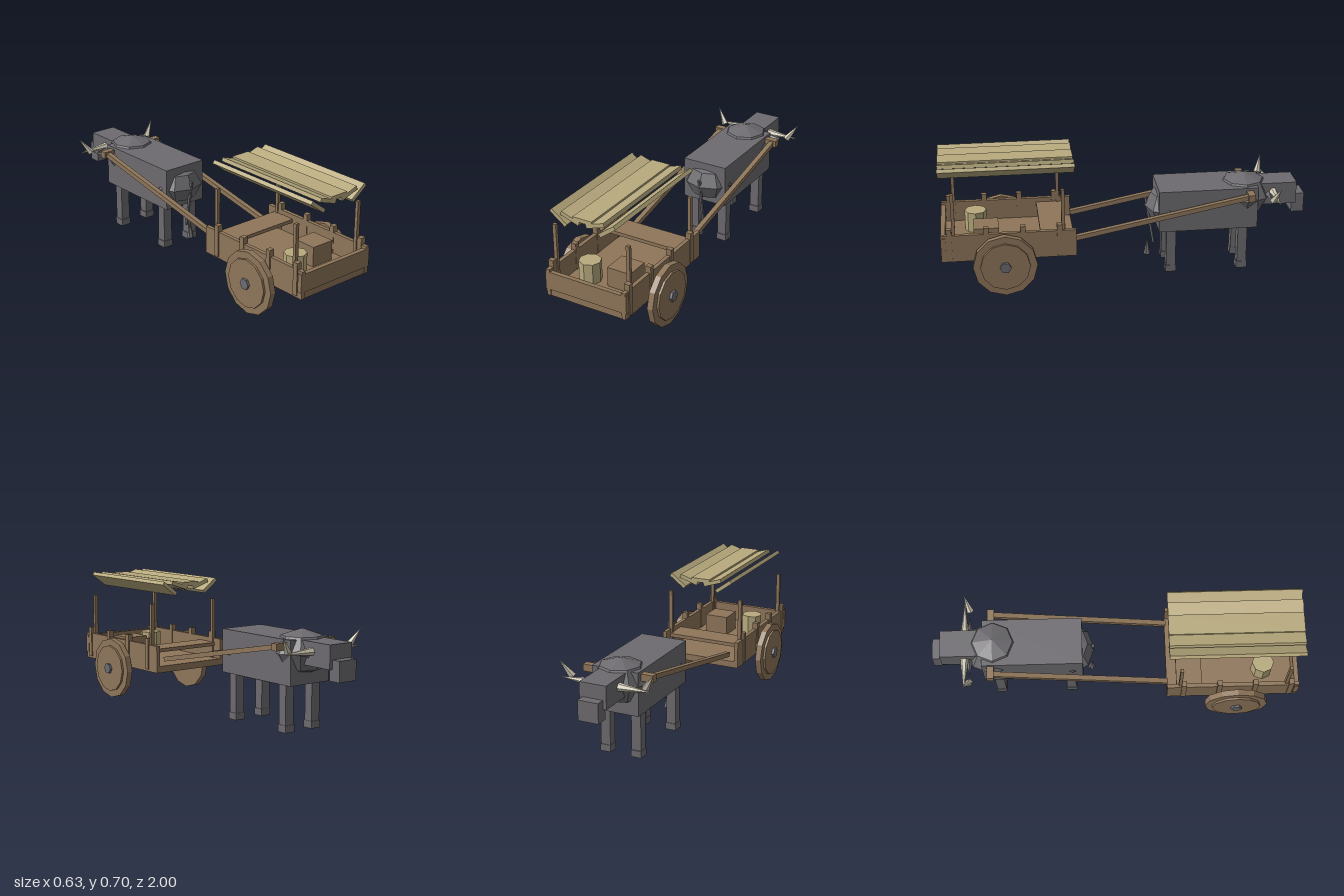
import * as THREE from 'three';

const material = (name, color) => {
  const m = new THREE.MeshStandardMaterial({ color, flatShading: true });
  m.name = name;
  return m;
};

export function createModel() {
  const wood = material('wood', 0x8f765a);
  const hide = material('greyHide', 0x6d6b6f);
  const straw = material('straw', 0xb8aa7e);
  const horn = material('horn', 0xcfc8b4);
  const iron = material('iron', 0x6b6c72);

  const model = new THREE.Group();
  model.name = 'oxCart';
  const cart = new THREE.Group();
  cart.name = 'cart';
  const ox = new THREE.Group();
  ox.name = 'ox';
  model.add(cart, ox);

  const add = (parent, name, geometry, mat) => {
    const mesh = new THREE.Mesh(geometry, mat);
    mesh.name = name;
    parent.add(mesh);
    return mesh;
  };
  // Box given by its extents on each axis
  const box = (parent, name, mat, [x0, x1], [y0, y1], [z0, z1]) => {
    const mesh = add(parent, name, new THREE.BoxGeometry(x1 - x0, y1 - y0, z1 - z0), mat);
    mesh.position.set((x0 + x1) / 2, (y0 + y1) / 2, (z0 + z1) / 2);
    return mesh;
  };
  // Mirrored box: extents are given for the +x side
  const sideBox = (parent, name, mat, s, [x0, x1], y, z) =>
    box(parent, name, mat, s > 0 ? [x0, x1] : [-x1, -x0], y, z);
  // Round or tapered bar between two points
  const bar = (parent, name, mat, a, b, ra, rb, sides) => {
    const p = new THREE.Vector3(...a), q = new THREE.Vector3(...b);
    const dir = q.clone().sub(p);
    const mesh = add(parent, name, new THREE.CylinderGeometry(rb, ra, dir.length(), sides), mat);
    mesh.position.copy(p).add(q).multiplyScalar(0.5);
    mesh.quaternion.setFromUnitVectors(new THREE.Vector3(0, 1, 0), dir.normalize());
    return mesh;
  };
  // Disc turned to lie across the x axis
  const disc = (parent, name, mat, x0, x1, r, sides) => {
    const g = new THREE.CylinderGeometry(r, r, x1 - x0, sides).rotateZ(Math.PI / 2);
    add(parent, name, g, mat).position.set((x0 + x1) / 2, 0.172, 0.665);
  };
  const blob = (name, r, pos) => {
    const mesh = add(ox, name, new THREE.SphereGeometry(1, 8, 4), hide);
    mesh.scale.set(...r);
    mesh.position.set(...pos);
  };

  // Cart bed
  box(cart, 'floor', wood, [-0.234, 0.234], [0.188, 0.225], [0.28, 0.995]);
  box(cart, 'tailboard', wood, [-0.24, 0.24], [0.225, 0.325], [0.975, 1]);
  box(cart, 'bench', wood, [-0.213, 0.213], [0.295, 0.315], [0.33, 0.47]);
  disc(cart, 'axle', iron, -0.26, 0.26, 0.0155, 6);

  for (const s of [-1, 1]) {
    // Sides, stakes and roof poles
    sideBox(cart, 'sideBoard', wood, s, [0.213, 0.235], [0.19, 0.34], [0.28, 1]);
    for (const z of [0.37, 0.565, 0.76, 0.955])
      sideBox(cart, 'stake', wood, s, [0.211, 0.241], [0.2, 0.376], [z - 0.014, z + 0.014]);
    for (const z of [0.35, 0.93])
      sideBox(cart, 'roofPole', wood, s, [0.206, 0.226], [0.225, 0.57], [z - 0.009, z + 0.009]);

    // Solid wheels
    const span = (a, b) => (s > 0 ? [a, b] : [-b, -a]);
    disc(cart, 'wheel', wood, ...span(0.255, 0.288), 0.172, 12);
    disc(cart, 'wheelPlate', wood, ...span(0.287, 0.3), 0.133, 12);
    disc(cart, 'hub', iron, ...span(0.248, 0.313), 0.031, 6);

    // Shaft rising to the yoke
    const shaft = add(cart, 'shaft', new THREE.BoxGeometry(0.028, 0.026, 0.985), wood);
    shaft.position.set(s * 0.171, 0.358, -0.2);
    shaft.rotation.x = Math.atan2(0.19, 0.965);

    // Tilted roof planks
    for (const [x, y, tilt] of [[0.073, 0.671, 0.32], [0.141, 0.657, 0.64]]) {
      const plank = add(cart, 'roofPlank', new THREE.BoxGeometry(0.11, 0.021, 0.72), straw);
      plank.position.set(s * x, y, 0.64);
      plank.rotation.z = s * tilt;
    }
  }
  box(cart, 'roofRidgePlank', straw, [-0.055, 0.055], [0.665, 0.687], [0.28, 1]);
  box(cart, 'yoke', wood, [-0.2, 0.2], [0.432, 0.47], [-0.696, -0.658]);

  // Cargo
  box(cart, 'crate', wood, [0.015, 0.151], [0.225, 0.334], [0.69, 0.825]);
  add(cart, 'basket', new THREE.CylinderGeometry(0.06, 0.06, 0.113, 8), straw)
    .position.set(-0.098, 0.2815, 0.81);

  // Ox body
  box(ox, 'body', hide, [-0.131, 0.131], [0.25, 0.484], [-0.725, -0.18]);
  box(ox, 'belly', hide, [-0.105, 0.105], [0.241, 0.25], [-0.685, -0.215]);
  blob('shoulderHump', [0.155, 0.12, 0.155], [0, 0.41, -0.665]);
  blob('rump', [0.14, 0.105, 0.12], [0, 0.36, -0.235]);
  box(ox, 'head', hide, [-0.075, 0.075], [0.36, 0.484], [-0.95, -0.72]);
  box(ox, 'muzzle', hide, [-0.057, 0.057], [0.3, 0.408], [-1, -0.93]);

  // Tail and tuft
  bar(ox, 'tail', hide, [0, 0.4, -0.122], [0, 0.13, -0.168], 0.01, 0.009, 5);
  bar(ox, 'tailTuft', hide, [0, 0.063, -0.133], [0, 0.158, -0.133], 0.021, 0, 6);

  for (const s of [-1, 1]) {
    // Legs and hooves
    for (const z of [-0.25, -0.648]) {
      sideBox(ox, 'leg', hide, s, [0.062, 0.116], [0.03, 0.255], [z - 0.026, z + 0.026]);
      sideBox(ox, 'hoof', hide, s, [0.059, 0.119], [0, 0.038], [z - 0.03, z + 0.03]);
    }
    // Horns: outward base, then upturned tip
    bar(ox, 'hornBase', horn, [s * 0.07, 0.435, -0.82], [s * 0.25, 0.435, -0.82], 0.023, 0.002, 6);
    bar(ox, 'hornTip', horn, [s * 0.205, 0.437, -0.79], [s * 0.267, 0.527, -0.82], 0.02, 0, 5);
    // Ears
    bar(ox, 'ear', hide, [s * 0.07, 0.42, -0.795], [s * 0.17, 0.425, -0.79], 0.02, 0, 4);
  }
  return model;
}
